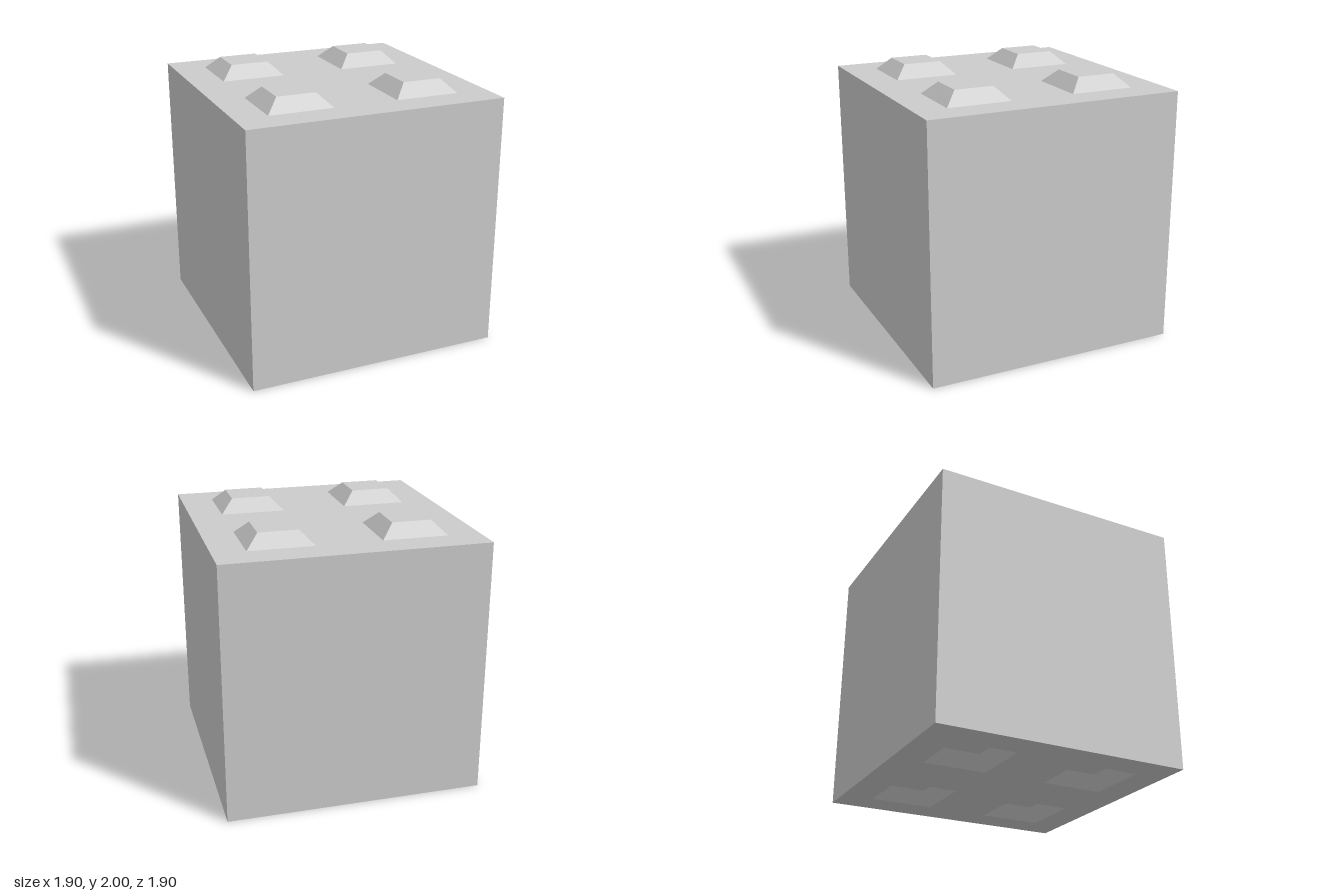
import * as THREE from 'three';

const HALF = 0.9524, HEIGHT = 1.9048; // cube body
const OFFSET = 0.4762;                // stud centre distance from each axis
const BASE = 0.238, TIP = 0.143, RISE = 0.0952; // stud half-widths and height
const CENTRES = [-1, 1].flatMap(x => [-1, 1].map(z => [x * OFFSET, z * OFFSET]));

const material = new THREE.MeshStandardMaterial({ color: 0xcccccc, flatShading: true });

function addMesh(parent, name, geometry, x = 0, y = 0, z = 0) {
  const mesh = new THREE.Mesh(geometry, material);
  mesh.name = name;
  mesh.position.set(x, y, z);
  parent.add(mesh);
  return mesh;
}

// Four-sided lathe whose profile is given as [half-width, y]; rising profiles face outward
function squareLathe(profile) {
  const points = profile.map(([w, y]) => new THREE.Vector2(w * Math.SQRT2, y));
  const geometry = new THREE.LatheGeometry(points, 4, Math.PI / 4).toNonIndexed();
  geometry.computeVertexNormals();
  return geometry;
}

function trace(path, x, y, half) {
  path.moveTo(x - half, y - half);
  path.lineTo(x + half, y - half);
  path.lineTo(x + half, y + half);
  path.lineTo(x - half, y + half);
  path.closePath();
  return path;
}

// Square face with four openings where the studs or sockets join it
function piercedFace() {
  const shape = trace(new THREE.Shape(), 0, 0, HALF);
  for (const [x, z] of CENTRES) shape.holes.push(trace(new THREE.Path(), x, z, BASE));
  return new THREE.ShapeGeometry(shape);
}

export function createModel() {
  const model = new THREE.Group();
  model.name = 'studdedBlock';

  // Body: four walls, top and underside
  const body = new THREE.Group();
  body.name = 'body';
  model.add(body);
  addMesh(body, 'walls', squareLathe([[HALF, 0], [HALF, HEIGHT]]));
  addMesh(body, 'topFace', piercedFace().rotateX(-Math.PI / 2), 0, HEIGHT, 0);
  addMesh(body, 'underside', piercedFace().rotateX(Math.PI / 2));

  // Bevelled studs on top, matching sockets sunk into the underside
  const profile = [[BASE, 0], [TIP, RISE], [0, RISE]];
  const stud = squareLathe(profile);
  const socket = squareLathe([...profile].reverse());
  for (const [x, z] of CENTRES) {
    addMesh(model, 'stud', stud, x, HEIGHT, z);
    addMesh(model, 'socket', socket, x, 0, z);
  }
  return model;
}
